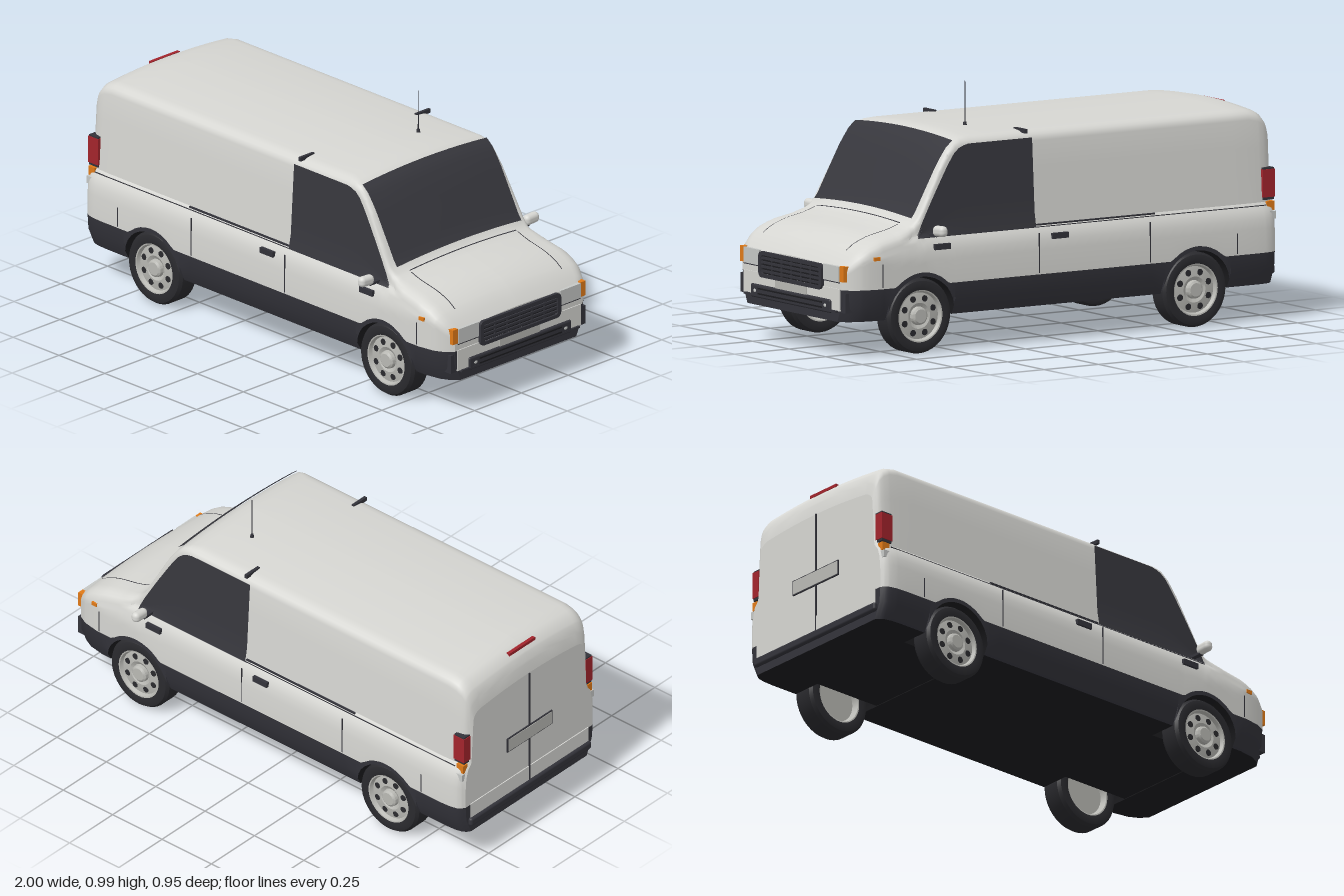
import * as THREE from 'three';
import { toCreasedNormals } from 'three/addons/utils/BufferGeometryUtils.js';
import { RoundedBoxGeometry } from 'three/addons/geometries/RoundedBoxGeometry.js';

const mat = (name, color) => Object.assign(new THREE.MeshStandardMaterial({ color }), { name });
const M = {
  paint: mat('paint', 0xd6d6d2), trim: mat('trim', 0x33333a), glass: mat('glass', 0x37373d),
  under: mat('underside', 0x1c1c1f), tyre: mat('tyre', 0x2a2a2e), metal: mat('wheelMetal', 0xb9b9b4),
  lens: mat('lens', 0xc6c8c6), amber: mat('amber', 0xe07a18), red: mat('red', 0xa3242c),
};

// Piecewise linear lookup
const lerp = (pts, x) => {
  if (x <= pts[0][0]) return pts[0][1];
  for (let i = 1; i < pts.length; i++) {
    const [x0, y0] = pts[i - 1], [x1, y1] = pts[i];
    if (x <= x1) return y0 + (y1 - y0) * (x - x0) / (x1 - x0);
  }
  return pts[pts.length - 1][1];
};

// Body rules: roof line, end insets, corner radii, half width by height
const TOP = [[-.985, .70], [-.978, .745], [-.965, .782], [-.945, .806], [-.92, .82], [-.88, .828], [.40, .828], [.44, .823],
  [.47, .811], [.50, .785], [.54, .728], [.60, .62], [.645, .538], [.67, .51], [.70, .495], [.75, .482], [.83, .466],
  [.89, .445], [.93, .418], [.96, .39], [.985, .358]];
const INSET = [[-.985, .035], [-.975, .02], [-.96, .01], [-.93, .003], [-.88, 0], [.85, 0], [.92, .012], [.96, .032], [.985, .062]];
const RY = [[.4, .04], [.5, .03], [.62, .03], [.72, .04], [.9, .045], [.985, .03]];
const RZ = [[.4, .055], [.47, .025], [.66, .025], [.75, .06], [.9, .06], [.985, .04]];
const WIDTH = [[.14, .37], [.18, .395], [.25, .402], [.38, .402], [.43, .388], [.455, .368], [.8, .347]];
const CAMBER = .015, WHEELS = [-.61, .655], WHEEL_Y = .147;
const width = y => lerp(WIDTH, y);

// Height of a wheel arch of radius r above x
const arch = (x, r) => Math.max(0, ...WHEELS.map(c => Math.abs(x - c) < r ? WHEEL_Y + Math.sqrt(r * r - (x - c) ** 2) : 0));

// Corner of body side and top at x
function shoulder(x) {
  const H = lerp(TOP, x), ry = lerp(RY, x), rz = lerp(RZ, x), yT = H - CAMBER - ry;
  return { H, ry, rz, yT, zt: width(yT) - lerp(INSET, x) - rz };
}
const topY = (x, z) => { const s = shoulder(x); return s.H - CAMBER * (z / s.zt) ** 2; };

// Half cross-section [y, z], from the floor centre round to the roof centre
function section(x) {
  const { H, ry, rz, yT, zt } = shoulder(x), d = lerp(INSET, x);
  const b = Math.max(.14, arch(x, .152)), c = Math.max(.265, arch(x, .168));
  const ys = [b, (b + c) / 2, c];
  [.36, .395, .43, .455].forEach((v, k) => ys.push(Math.min(v, c + (yT - c) * (k + 1) / 5)));
  const last = ys[6];
  for (const f of [1 / 3, 2 / 3, 1]) ys.push(last + (yT - last) * f);
  const pts = [[b, 0], ...ys.map(y => [y, width(y) - d])];
  for (let k = 1; k <= 5; k++) {
    const a = k * Math.PI / 10;
    pts.push([yT + ry * Math.sin(a), zt + rz * Math.cos(a)]);
  }
  for (const f of [.75, .5, .25, 0]) pts.push([H - CAMBER * f * f, zt * f]);
  return pts;
}

// Grid surface from f(i, j) -> [x, y, z]
function patch(nu, nv, f, flip = false) {
  const pos = [], idx = [];
  for (let i = 0; i <= nu; i++) for (let j = 0; j <= nv; j++) pos.push(...f(i, j));
  for (let i = 0; i < nu; i++) for (let j = 0; j < nv; j++) {
    const a = i * (nv + 1) + j, b = a + nv + 1;
    if (flip) idx.push(a, b + 1, b, a, a + 1, b + 1);
    else idx.push(a, b, b + 1, a, b + 1, a + 1);
  }
  const g = new THREE.BufferGeometry();
  g.setAttribute('position', new THREE.Float32BufferAttribute(pos, 3));
  g.setIndex(idx);
  return toCreasedNormals(g, .6);
}

function roundedRect(w, h, r, Type = THREE.Shape) {
  const s = new Type(), a = w / 2 - r, b = h / 2 - r;
  s.absarc(a, b, r, 0, Math.PI / 2); s.absarc(-a, b, r, Math.PI / 2, Math.PI);
  s.absarc(-a, -b, r, Math.PI, Math.PI * 1.5); s.absarc(a, -b, r, Math.PI * 1.5, Math.PI * 2);
  return s;
}

export function createModel() {
  const van = new THREE.Group();
  van.name = 'van';
  const add = (name, geo, m, x = 0, y = 0, z = 0, parent = van) => {
    const mesh = new THREE.Mesh(geo, m);
    mesh.name = name;
    mesh.position.set(x, y, z);
    parent.add(mesh);
    return mesh;
  };
  const box = (name, m, x, y, z, sx, sy, sz) => add(name, new THREE.BoxGeometry(sx, sy, sz), m, x, y, z);

  // Body shell, lofted along x in bands
  const xs = [...TOP, ...INSET].map(p => p[0]);
  for (let x = -.8; x < .4; x += .1) xs.push(x);
  for (const c of WHEELS) for (let k = 0; k <= 16; k++) xs.push(c + .1521 * Math.cos(k * Math.PI / 16));
  xs.sort((a, b) => a - b);
  const st = xs.filter((x, i) => i === 0 || x - xs[i - 1] > 5e-4);
  const secs = st.map(section), end = secs[0].length - 1, N = st.length - 1;
  const bands = [['floor', M.under, 0, 1], ['cladding', M.trim, 1, 3], ['bodyPanel', M.paint, 3, end]];
  for (const [name, m, j0, j1] of bands) {
    for (const s of [1, -1])
      add(name, patch(N, j1 - j0, (i, j) => [st[i], secs[i][j0 + j][0], s * secs[i][j0 + j][1]], s < 0), m);
    if (j0 > 0) for (const i of [0, N])
      add(name + 'End', patch(1, j1 - j0, (u, j) => [st[i], secs[i][j0 + j][0], (1 - 2 * u) * secs[i][j0 + j][1]], i === 0), m);
  }
  box('floorBetweenWheels', M.under, -.02, .225, 0, 1.75, .165, .5);

  // Windscreen and cab side windows
  add('windscreen', patch(12, 10, (i, j) => {
    const x = .467 + i * .0158, z = .332 - j * .0664;
    return [x + .005, topY(x, z) + .005, z];
  }), M.glass);
  const GLASS_TOP = [[.12, .787], [.42, .787], [.455, .775], [.485, .75], [.52, .698], [.58, .6], [.635, .505], [.66, .455]];
  for (const s of [1, -1])
    add('sideWindow', patch(24, 6, (i, j) => {
      const x = .12 + i * .0225, y = .445 + (lerp(GLASS_TOP, x) - .445) * j / 6;
      return [x, y, s * (width(y) + .004)];
    }, s < 0), M.glass);

  // Bonnet seams
  for (const s of [1, -1])
    add('bonnetSeam', patch(8, 1, (i, j) => {
      const x = .69 + i * .03, z = s * .285 + .002 - j * .004;
      return [x, topY(x, z) + .002, z];
    }), M.trim);
  add('bonnetRearSeam', patch(1, 12, (i, j) => {
    const x = .68 + i * .004, z = .285 - j * .0475;
    return [x, topY(x, z) + .002, z];
  }), M.trim);

  // Details on both sides
  for (const s of [1, -1]) {
    box('slidingDoorRail', M.trim, -.155, .452, s * .371, .55, .006, .008);
    box('beltLine', M.trim, -.14, .444, s * .376, 1.6, .003, .004);
    for (const [x, y0, y1] of [[-.79, .27, .35], [-.39, .27, .425], [.12, .27, .425], [.84, .27, .36]])
      box('panelSeam', M.trim, x, (y0 + y1) / 2, s * .401, .004, y1 - y0, .004);
    for (const x of [.024, .565]) box('doorHandle', M.trim, x, .408, s * .4, .072, .022, .014);
    box('roofBracket', M.trim, .145, .812, s * .31, .012, .016, .075);
    box('sideMarker', M.amber, .865, .383, s * .398, .026, .014, .012);

    // Mirror on its arm
    box('mirrorArm', M.trim, .6, .455, s * .395, .02, .01, .06);
    const mirror = add('mirror', new RoundedBoxGeometry(.036, .042, .07, 4, .017), M.paint, .602, .474, s * .441);
    mirror.rotation.x = s * -.05;

    // Tail light cluster
    box('tailLightFrame', M.trim, -.955, .525, s * .352, .048, .124, .036);
    box('tailLight', M.red, -.955, .527, s * .354, .054, .108, .037);
    box('rearIndicator', M.amber, -.962, .44, s * .361, .034, .035, .026);
    box('reverseLight', M.lens, -.963, .405, s * .37, .034, .03, .026);

    // Front lights
    box('headlight', M.lens, .978, .325, s * .272, .026, .06, .108);
    box('headlightEdge', M.trim, .978, .293, s * .272, .024, .004, .108);
    box('frontIndicator', M.amber, .971, .327, s * .341, .034, .06, .027);
    box('bumperEnd', M.trim, .965, .215, s * .345, .035, .075, .03);
    const fog = add('fogLight', new THREE.SphereGeometry(.014, 16, 8), M.lens, .993, .197, s * .24);
    fog.scale.set(.4, .7, 1);
  }

  // Grille, facing +x
  box('noseValance', M.paint, .985, .225, 0, .008, .085, .66);
  const frame = roundedRect(.43, .1, .02);
  frame.holes.push(roundedRect(.396, .072, .012, THREE.Path));
  const ring = add('grilleFrame', new THREE.ExtrudeGeometry(frame, { depth: .016, bevelEnabled: false }), M.trim, .982, .303, 0);
  ring.rotation.y = Math.PI / 2;
  box('grilleBack', M.under, .985, .303, 0, .008, .078, .4);
  for (let k = 0; k < 4; k++) box('grilleBar', M.trim, .991, .278 + k * .0167, 0, .01, .009, .396);
  for (let k = -2; k <= 2; k++) box('grillePost', M.trim, .989, .303, k * .066, .008, .072, .005);

  // Front bumper and plate
  box('frontPlate', M.metal, .99, .237, 0, .006, .032, .214);
  add('bumperGrille', new RoundedBoxGeometry(.018, .052, .545, 3, .008), M.trim, .988, .196, 0);
  for (const y of [.187, .207]) box('bumperSlot', M.under, .996, y, 0, .004, .006, .44);
  box('bumperLip', M.trim, .985, .18, 0, .026, .008, .63);

  // Rear doors
  box('rearDoorFoot', M.paint, -.986, .235, 0, .006, .07, .68);
  box('rearDoorSeam', M.trim, -.987, .45, 0, .006, .5, .005);
  box('rearPlateEdge', M.trim, -.987, .43, 0, .007, .062, .262);
  box('rearPlate', M.metal, -.989, .43, 0, .007, .054, .252);
  add('rearStep', new RoundedBoxGeometry(.03, .035, .7, 3, .01), M.trim, -.985, .19, 0);
  box('rearBrakeLight', M.red, -.945, .806, 0, .014, .012, .15);

  // Aerial
  add('aerialBase', new THREE.CylinderGeometry(.006, .008, .014, 12), M.trim, .29, .83, -.145);
  add('aerial', new THREE.CylinderGeometry(.0015, .0022, .165, 6), M.trim, .29, .912, -.145);

  // Wheels: axis along z, outer face towards +z
  const lathe = pts => toCreasedNormals(new THREE.LatheGeometry(pts.map(p => new THREE.Vector2(...p)), 40).rotateX(Math.PI / 2), .6);
  const tyre = lathe([[.098, -.046], [.118, -.052], [.136, -.047], [.145, -.034], [.145, .034], [.136, .047], [.118, .052], [.098, .046], [.098, -.046]]);
  const rim = lathe([[0, -.022], [.088, -.022], [.096, -.046], [.101, -.047], [.101, .047], [.096, .046], [.09, .032], [.08, .034],
    [.05, .038], [.036, .03], [.034, .044], [.026, .05], [0, .05]]);
  const hole = new THREE.CylinderGeometry(.0125, .0125, .008, 16).rotateX(Math.PI / 2);
  for (const x of WHEELS) for (const s of [1, -1]) {
    const wheel = new THREE.Group();
    wheel.name = 'wheel';
    wheel.position.set(x, .145, s * .338);
    if (s < 0) wheel.rotation.y = Math.PI;
    add('tyre', tyre, M.tyre, 0, 0, 0, wheel);
    add('rim', rim, M.metal, 0, 0, 0, wheel);
    for (let k = 0; k < 8; k++) {
      const a = (k + .5) * Math.PI / 4;
      add('rimHole', hole, M.tyre, .07 * Math.cos(a), .07 * Math.sin(a), .033, wheel);
    }
    van.add(wheel);
  }
  return van;
}
